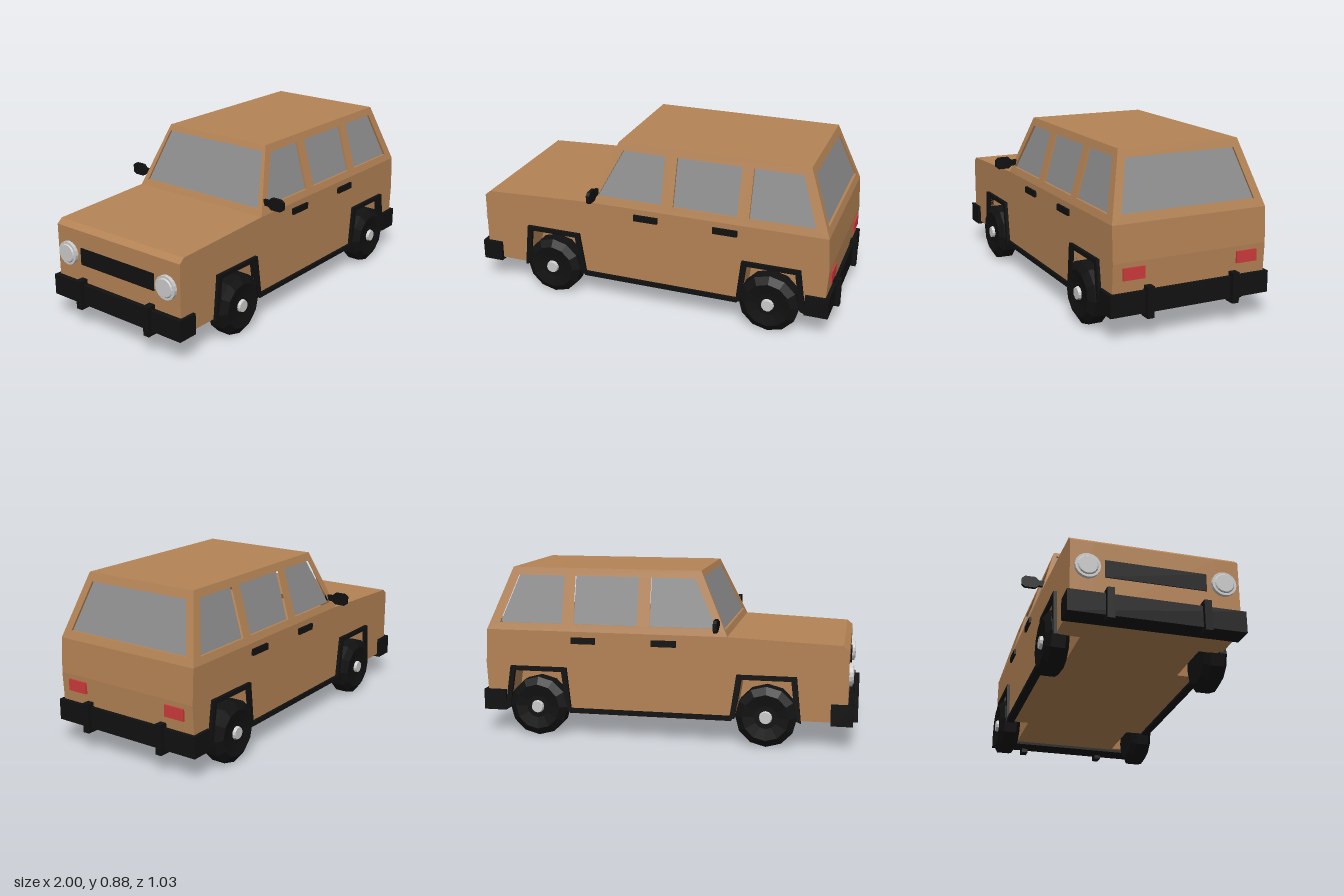
import * as THREE from 'three';

const mat = (color, extra = {}) =>
  new THREE.MeshStandardMaterial({ color, flatShading: true, ...extra });

export function createModel() {
  const car = new THREE.Group();
  car.name = 'car';
  const paint = mat(0xb48355);
  const black = mat(0x111111);
  const glass = mat(0x8c8c8c);
  const metal = mat(0xcccccc);
  const red = mat(0xcc3a3a);

  const add = (name, geometry, material) => {
    const mesh = new THREE.Mesh(geometry, material);
    mesh.name = name;
    car.add(mesh);
    return mesh;
  };
  // Box from its lower and upper limits
  const box = (name, material, x0, x1, y0, y1, z0, z1) => {
    const g = new THREE.BoxGeometry(x1 - x0, y1 - y0, z1 - z0);
    g.translate((x0 + x1) / 2, (y0 + y1) / 2, (z0 + z1) / 2);
    return add(name, g, material);
  };
  const shapeOf = (pts) => new THREE.Shape(pts.map(([x, y]) => new THREE.Vector2(x, y)));
  // Side profile extruded between two z limits
  const slab = (name, material, pts, z0, z1) => {
    const g = new THREE.ExtrudeGeometry(shapeOf(pts), { depth: z1 - z0, bevelEnabled: false });
    g.translate(0, 0, z0);
    return add(name, g, material);
  };

  const HALF = 0.417, BELT = 0.56, ROOF = 0.885, ROOF_HALF = 0.325, FLOOR = 0.14;
  const wheelX = [-0.54, 0.67];

  // Lower body: full core plus outer slices with wheel arches cut out
  const upper = [
    [0.955, FLOOR], [0.957, 0.23], [0.965, 0.38], [0.955, BELT],
    [-0.335, BELT], [-0.92, 0.535], [-0.95, 0.51], [-0.95, FLOOR],
  ];
  const archInner = (x) => [
    [x - 0.15, FLOOR], [x - 0.125, 0.345], [x + 0.13, 0.345], [x + 0.162, FLOOR],
  ];
  const archOuter = (x) => [
    [x - 0.177, 0.13], [x - 0.152, 0.368], [x + 0.155, 0.368], [x + 0.19, 0.13],
  ];
  slab('bodyCore', paint, upper, -0.3, 0.3);
  const sideProfile = [...upper, ...archInner(wheelX[0]), ...archInner(wheelX[1])];

  // Cabin panel: tilted wall with window openings and inset glass.
  // Points are (across, height); the outer face lies at "out" on the belt line.
  const panel = (name, pts, windows, out, roofOut, turn) => {
    const slope = (roofOut - out) / (ROOF - BELT);
    const place = (g, inset) => {
      const p = g.attributes.position;
      for (let i = 0; i < p.count; i++) {
        p.setZ(i, p.getZ(i) - inset + out + (p.getY(i) - BELT) * slope);
      }
      g.rotateY(turn);
      g.computeVertexNormals();
      return g;
    };
    const shape = shapeOf(pts);
    shape.holes = windows.map(shapeOf);
    add(name, place(new THREE.ExtrudeGeometry(shape, { depth: 0.02, bevelEnabled: false }), 0.02), paint);
    windows.forEach((w) => add(name + 'Glass', place(new THREE.ShapeGeometry(shapeOf(w)), 0.012), glass));
  };
  const trapezoid = (b, y0, t, y1) => [[-b, y0], [b, y0], [t, y1], [-t, y1]];

  const wall = [[-0.335, BELT], [0.955, BELT], [0.83, ROOF], [-0.185, ROOF]];
  const sideWindows = [
    [[-0.28, 0.597], [0.075, 0.597], [0.075, 0.845], [-0.155, 0.845]],
    [[0.14, 0.597], [0.483, 0.597], [0.483, 0.845], [0.14, 0.845]],
    [[0.545, 0.597], [0.885, 0.597], [0.795, 0.845], [0.545, 0.845]],
  ];
  const flip = (pts) => pts.map(([x, y]) => [-x, y]);
  panel('leftCabinSide', wall, sideWindows, HALF, ROOF_HALF, 0);
  panel('rightCabinSide', flip(wall), sideWindows.map(flip), HALF, ROOF_HALF, Math.PI);
  const end = trapezoid(HALF, BELT, ROOF_HALF, ROOF);
  panel('windscreen', end, [trapezoid(0.38, 0.59, 0.315, 0.855)], 0.335, 0.185, -Math.PI / 2);
  panel('rearScreen', end, [trapezoid(0.362, 0.6, 0.295, 0.843)], 0.955, 0.83, Math.PI / 2);
  box('roof', paint, -0.185, 0.83, ROOF - 0.02, ROOF, -ROOF_HALF, ROOF_HALF);

  // Chamfered tyre, axis along y before turning
  const tyre = new THREE.LatheGeometry(
    [[0, -0.06], [0.12, -0.06], [0.158, -0.035], [0.158, 0.035], [0.12, 0.06], [0.06, 0.05], [0, 0.05]]
      .map(([r, h]) => new THREE.Vector2(r, h)), 12);

  // Mirror outline in (z, y): arm widening into an eight-sided head
  const mirror = [
    [0.38, 0.607], [0.425, 0.607], [0.445, 0.592], [0.5, 0.592], [0.517, 0.605],
    [0.517, 0.642], [0.5, 0.656], [0.445, 0.656], [0.425, 0.638], [0.38, 0.638],
  ];

  for (const s of [1, -1]) {
    const side = s > 0 ? 'left' : 'right';
    // Limits between two distances from the centre line on this side
    const span = (a, b) => (s > 0 ? [a, b] : [-b, -a]);

    slab(side + 'BodySide', paint, sideProfile, ...span(0.3, HALF));
    box(side + 'Sill', black, wheelX[0] + 0.18, wheelX[1] - 0.17, 0.125, 0.15, ...span(0.39, 0.43));

    wheelX.forEach((x, i) => {
      const end = i ? 'Rear' : 'Front';
      slab(side + end + 'ArchTrim', black,
        [...archOuter(x), ...archInner(x).reverse()], ...span(0.4, 0.434));
      const wheel = new THREE.Group();
      wheel.name = side + end + 'Wheel';
      wheel.position.set(x, 0.158, s * 0.402);
      wheel.rotation.x = s * Math.PI / 2;
      const rubber = new THREE.Mesh(tyre, black);
      rubber.name = 'tyre';
      const hub = new THREE.Mesh(new THREE.CylinderGeometry(0.03, 0.036, 0.02, 12), metal);
      hub.name = 'hub';
      hub.position.y = 0.055;
      wheel.add(rubber, hub);
      car.add(wheel);
    });

    for (const x of [-0.07, 0.36]) {
      box(side + 'DoorHandle', black, x, x + 0.13, 0.497, 0.53, ...span(0.41, 0.429));
    }

    const m = new THREE.ExtrudeGeometry(
      shapeOf(mirror.map(([z, y]) => [-s * z, y])), { depth: 0.018, bevelEnabled: false });
    m.rotateY(Math.PI / 2);
    m.translate(-0.294, 0, 0);
    add(side + 'Mirror', m, black);

    // Lamps
    const rim = new THREE.CylinderGeometry(0.062, 0.062, 0.03, 16).rotateZ(Math.PI / 2);
    add(side + 'Headlight', rim.translate(-0.953, 0.375, s * 0.335), metal);
    const lens = new THREE.CylinderGeometry(0.045, 0.052, 0.008, 16).rotateZ(Math.PI / 2);
    add(side + 'HeadlightLens', lens.translate(-0.97, 0.375, s * 0.335), metal);
    box(side + 'TailLight', red, 0.94, 0.972, 0.295, 0.355, ...span(0.252, 0.366));

    // Bumper uprights
    box(side + 'FrontOverrider', black, -1, -0.94, 0.103, 0.258, ...span(0.216, 0.252));
    box(side + 'RearOverrider', black, 0.94, 1, 0.103, 0.258, ...span(0.216, 0.252));
  }

  // Grille and bumpers
  box('grille', black, -0.955, -0.94, 0.33, 0.42, -0.25, 0.25);
  box('frontBumper', black, -0.977, -0.865, 0.125, 0.235, -0.434, 0.434);
  box('rearBumper', black, 0.855, 0.977, 0.125, 0.235, -0.434, 0.434);

  return car;
}
